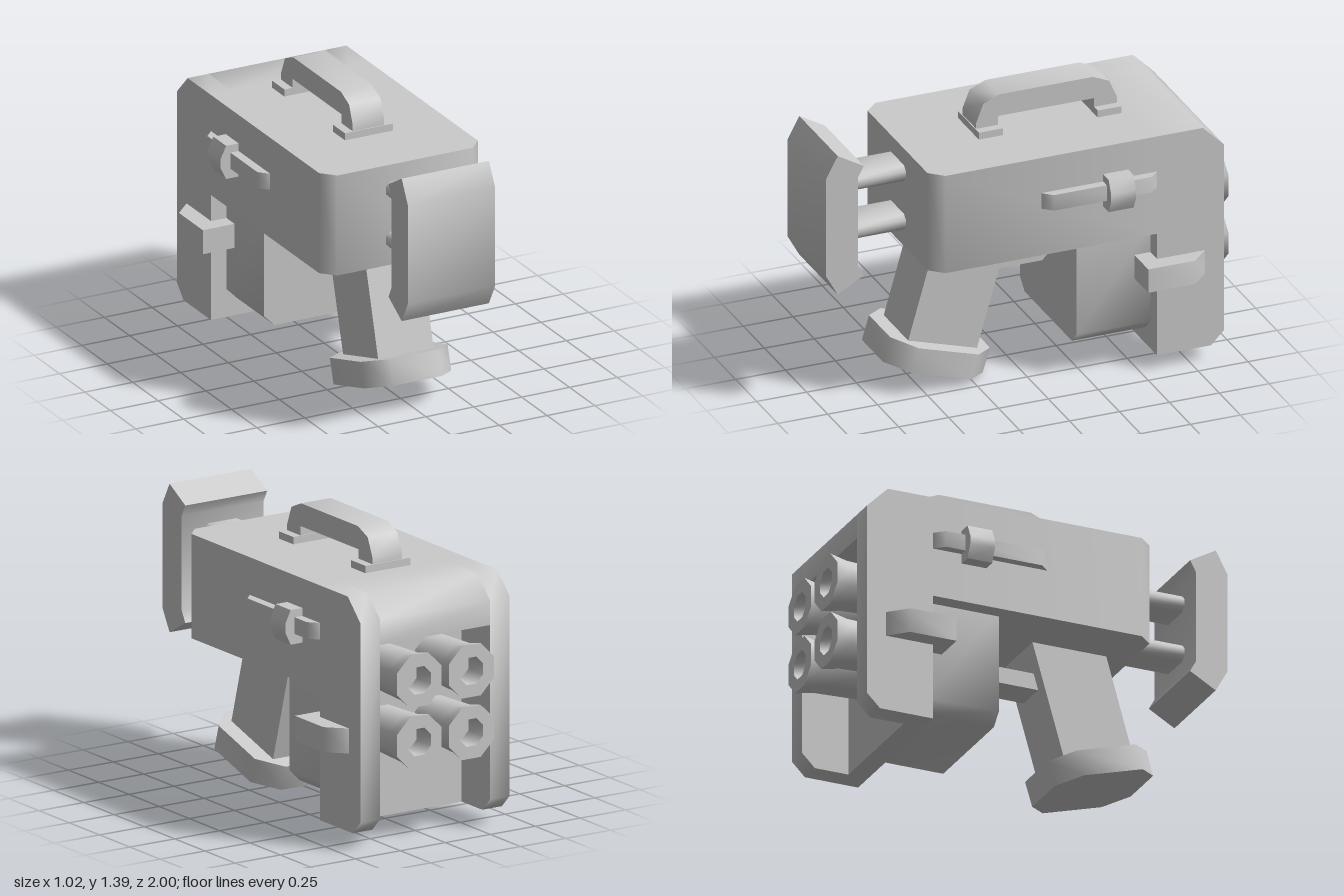
import * as THREE from 'three';
import { toCreasedNormals } from 'three/addons/utils/BufferGeometryUtils.js';

const material = new THREE.MeshStandardMaterial({ color: 0xcccccc });

// Extrude an outline by a depth, centred on the extrusion axis
function prism(points, depth) {
  const shape = new THREE.Shape(points.map(([a, b]) => new THREE.Vector2(a, b)));
  const geo = new THREE.ExtrudeGeometry(shape, { depth, bevelEnabled: false });
  return geo.translate(0, 0, -depth / 2);
}
// [z, y] outline spanning x0..x1
const alongX = (pts, x0, x1) =>
  prism(pts, x1 - x0).rotateY(-Math.PI / 2).translate((x0 + x1) / 2, 0, 0);
// [x, z] outline spanning y0..y1
const alongY = (pts, y0, y1) =>
  prism(pts, y1 - y0).rotateX(Math.PI / 2).translate(0, (y0 + y1) / 2, 0);
// [x, y] outline spanning z0..z1
const alongZ = (pts, z0, z1) => prism(pts, z1 - z0).translate(0, 0, (z0 + z1) / 2);

const box = (x0, x1, y0, y1, z0, z1) =>
  new THREE.BoxGeometry(x1 - x0, y1 - y0, z1 - z0)
    .translate((x0 + x1) / 2, (y0 + y1) / 2, (z0 + z1) / 2);

// Rectangle with all corners cut
const cutRect = (w, h, cx, cy = cx) => [
  [-w, -h + cy], [-w + cx, -h], [w - cx, -h], [w, -h + cy],
  [w, h - cy], [w - cx, h], [-w + cx, h], [-w, h - cy],
];

export function createModel() {
  const model = new THREE.Group();
  model.name = 'launcher';
  const add = (name, geo, parent = model) => {
    const mesh = new THREE.Mesh(toCreasedNormals(geo, 0.9), material);
    mesh.name = name;
    parent.add(mesh);
    return mesh;
  };

  // Housing: main block, then side walls, roof and bulkhead around the muzzle bay
  const W = 0.415, IN = 0.305;
  add('housing', alongY([
    [-W, -0.58], [W, -0.58], [W, 0.48], [0.355, 0.545], [-0.355, 0.545], [-W, 0.48],
  ], 0.705, 1.205));
  const wall = [
    [-0.58, 0.08], [-0.85, 0.08], [-0.915, 0.145], [-0.915, 1.1], [-0.81, 1.205], [-0.58, 1.205],
  ];
  add('leftBayWall', alongX(wall, IN, W));
  add('rightBayWall', alongX(wall, -W, -IN));
  add('bayRoof', alongX([
    [-0.58, 0.98], [-0.915, 0.98], [-0.915, 1.1], [-0.81, 1.205], [-0.58, 1.205],
  ], -IN, IN));
  add('bayBulkhead', box(-IN, IN, 0.08, 0.98, -0.68, -0.58));

  // Four flared eight-sided barrels with blind bores
  const profile = [
    [0.108, 0], [0.117, 0.235], [0.135, 0.32], [0.07, 0.32], [0.07, 0.2], [0, 0.2],
  ].map(([r, h]) => new THREE.Vector2(r, h));
  for (const x of [-0.145, 0.145]) {
    for (const y of [0.805, 0.51]) {
      const geo = new THREE.LatheGeometry(profile, 8, Math.PI / 8).toNonIndexed();
      add('barrel', geo.rotateX(-Math.PI / 2).translate(x, y, -0.68));
    }
  }

  // Magazine box below the housing
  add('magazine', alongZ([
    [-0.335, 0.72], [-0.335, 0.22], [-0.28, 0.165], [0.28, 0.165], [0.335, 0.22], [0.335, 0.72],
  ], -0.585, -0.21));

  // Carry handle on two feet
  add('carryHandle', alongX([
    [0.185, 1.23], [0.185, 1.27], [0.15, 1.36], [0.07, 1.395],
    [-0.4, 1.395], [-0.48, 1.36], [-0.52, 1.27], [-0.52, 1.23],
    [-0.405, 1.23], [-0.405, 1.285], [0.075, 1.285], [0.075, 1.23],
  ], -0.082, 0.082));
  for (const z of [0.07, -0.525]) add('handleFoot', box(-0.125, 0.125, 1.2, 1.24, z, z + 0.12));

  // Mirrored side fittings
  for (const s of [-1, 1]) {
    const flip = pts => pts.map(([a, b]) => [a * s, b]);
    add('slideRail', alongY(flip([
      [0.4, 0], [0.415, 0], [0.458, -0.045], [0.458, -0.535], [0.415, -0.58], [0.4, -0.58],
    ]), 0.945, 1.025));
    add('slideKnob', alongZ(flip([
      [0.4, 0.897], [0.48, 0.897], [0.51, 0.96], [0.51, 1.0], [0.48, 1.063], [0.4, 1.063],
    ]), -0.435, -0.31));
    add('sideLatch', alongY(flip([
      [0.32, -0.5], [0.5, -0.5], [0.5, -0.735], [0.415, -0.82], [0.4, -0.82], [0.4, -0.59], [0.32, -0.59],
    ]), 0.455, 0.575));
  }

  // Shoulder stock: two flat rods and a curved butt plate
  for (const y of [1.08, 0.83]) {
    add('stockRod', alongZ(cutRect(0.1, 0.04, 0.022), 0.53, 0.85).translate(0, y, 0));
  }
  add('buttPlate', alongX([
    [1, 1.2], [1, 0.705], [0.94, 0.598], [0.81, 0.672], [0.84, 0.727],
    [0.84, 1.18], [0.81, 1.235], [0.94, 1.31],
  ], -0.228, 0.228));

  // Raked grip with a chamfered base
  add('grip', alongX([[0.42, 0.715], [0.045, 0.715], [0.21, 0.14], [0.555, 0.24]], -0.145, 0.145));
  const base = add('gripBase', alongY(cutRect(0.228, 0.261, 0.103, 0.105), -0.0625, 0.0625));
  base.position.set(0, 0.14, 0.4025);
  base.rotation.x = -0.291;

  // Trigger guard between grip and magazine
  add('triggerGuard', alongX([
    [0.14, 0.5], [-0.145, 0.5], [-0.215, 0.565], [-0.215, 0.715],
    [-0.125, 0.715], [-0.125, 0.58], [0.12, 0.58],
  ], -0.08, 0.08));

  return model;
}
